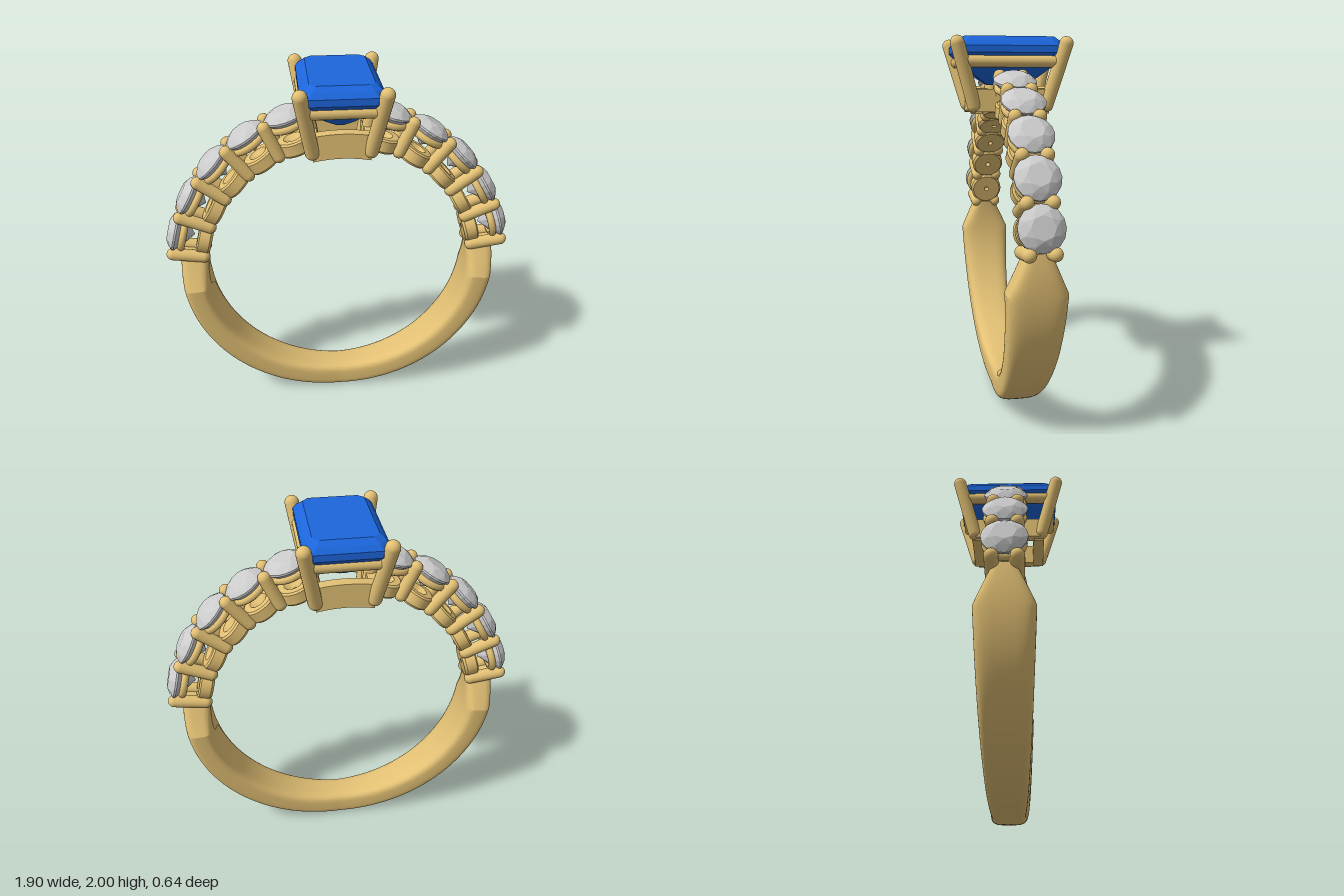
import * as THREE from 'three';
import { toCreasedNormals } from 'three/addons/utils/BufferGeometryUtils.js';
import { ConvexGeometry } from 'three/addons/geometries/ConvexGeometry.js';

const CY = 0.885, R_IN = 0.73, R_OUT = 0.882;
const rad = THREE.MathUtils.degToRad;
const gold = new THREE.MeshStandardMaterial({ color: 0xe2c074 });
const blue = new THREE.MeshStandardMaterial({ color: 0x1c66dc });
const grey = new THREE.MeshStandardMaterial({ color: 0xcccccc });

function add(parent, name, geometry, material = gold) {
  const mesh = new THREE.Mesh(geometry, material);
  mesh.name = name;
  parent.add(mesh);
  return mesh;
}

// Round bar with domed ends between two points
function bar(parent, name, a, b, r) {
  const dir = b.clone().sub(a);
  const mesh = add(parent, name, new THREE.CapsuleGeometry(r, dir.length(), 8, 20));
  mesh.position.copy(a).add(b).multiplyScalar(0.5);
  mesh.quaternion.setFromUnitVectors(new THREE.Vector3(0, 1, 0), dir.normalize());
  return mesh;
}

// Group whose local y points outward from the ring centre
function radialGroup(parent, name, degrees) {
  const g = new THREE.Group();
  g.name = name;
  g.position.y = CY;
  g.rotation.z = rad(degrees - 90);
  parent.add(g);
  return g;
}

// Lower band: rounded section swept round the arc, widening to the shoulders
function shankGeometry() {
  const angles = [];
  for (let i = 0; i <= 4; i++) angles.push(-188 + 13.5 * i / 4);
  for (let i = 1; i <= 80; i++) angles.push(-174.5 + 169 * i / 80);
  for (let i = 1; i <= 4; i++) angles.push(-5.5 + 13.5 * i / 4);
  const n = 48, pos = [], idx = [];
  const mid = (R_IN + R_OUT) / 2, thick = (R_OUT - R_IN) / 2;
  const round = (v) => Math.sign(v) * Math.sqrt(Math.abs(v));
  for (const deg of angles) {
    const fromBottom = Math.abs(deg + 90), a = rad(deg);
    const half = fromBottom < 84.5
      ? 0.09 + 0.057 * fromBottom / 84.5
      : 0.147 - 0.087 * (fromBottom - 84.5) / 13.5;
    for (let j = 0; j < n; j++) {
      const p = 2 * Math.PI * j / n;
      const r = mid + thick * round(Math.cos(p));
      pos.push(r * Math.cos(a), CY + r * Math.sin(a), half * round(Math.sin(p)));
    }
  }
  const last = (angles.length - 1) * n;
  for (let i = 0; i < angles.length - 1; i++) {
    for (let j = 0; j < n; j++) {
      const k = (j + 1) % n, a = i * n, b = a + n;
      idx.push(a + j, b + j, a + k, b + j, b + k, a + k);
    }
  }
  for (let j = 1; j < n - 1; j++) {
    idx.push(0, j, j + 1, last, last + j + 1, last + j);
  }
  const g = new THREE.BufferGeometry();
  g.setAttribute('position', new THREE.Float32BufferAttribute(pos, 3));
  g.setIndex(idx);
  return toCreasedNormals(g, 0.4);
}

// Round faceted stone, girdle at y = 0
function roundStoneGeometry() {
  const pts = [new THREE.Vector3(0, -0.105, 0)];
  const ring = (n, r, y, shift) => {
    for (let i = 0; i < n; i++) {
      const a = 2 * Math.PI * (i + shift) / n;
      pts.push(new THREE.Vector3(r * Math.cos(a), y, r * Math.sin(a)));
    }
  };
  ring(8, 0.058, 0.042, 0);
  ring(8, 0.088, 0.027, 0.5);
  ring(16, 0.112, 0.005, 0);
  ring(16, 0.112, -0.005, 0);
  ring(8, 0.06, -0.058, 0.5);
  return new ConvexGeometry(pts);
}

// Step-cut rectangular stone: stacked octagons [y, half x, half z]
function centreStoneGeometry() {
  const steps = [
    [2.0, 0.158, 0.24], [1.975, 0.186, 0.27], [1.95, 0.205, 0.29], [1.915, 0.205, 0.29],
    [1.84, 0.14, 0.225], [1.79, 0.08, 0.165], [1.75, 0.02, 0.105],
  ];
  const pts = [];
  for (const [y, hx, hz] of steps) {
    const cut = 0.2 * hx;
    for (const sx of [-1, 1]) for (const sz of [-1, 1]) {
      pts.push(new THREE.Vector3(sx * (hx - cut), y, sz * hz));
      pts.push(new THREE.Vector3(sx * hx, y, sz * (hz - cut)));
    }
  }
  return new ConvexGeometry(pts);
}

// Cup with a small drilled hole beneath each side stone
function cupGeometry() {
  const profile = [
    [0.014, 0.725], [0.085, 0.725], [0.096, 0.738], [0.096, 0.795],
    [0.085, 0.803], [0.05, 0.803], [0.014, 0.77], [0.014, 0.725],
  ].map(([x, y]) => new THREE.Vector2(x, y));
  return toCreasedNormals(new THREE.LatheGeometry(profile, 32), 0.6);
}

function buildSide(parent, left) {
  const side = new THREE.Group();
  side.name = left ? 'leftStoneRow' : 'rightStoneRow';
  parent.add(side);
  const turn = (deg) => (left ? deg : 180 - deg);
  const stone = roundStoneGeometry(), cup = cupGeometry();
  const collet = new THREE.TorusGeometry(0.088, 0.02, 10, 32);
  collet.rotateX(Math.PI / 2);
  for (let i = 0; i < 5; i++) {
    const g = radialGroup(side, 'sideSetting', turn(15.2 + 14.4 * i));
    add(g, 'sideStone', stone, grey).position.y = 0.925;
    add(g, 'sideCollet', collet).position.y = 0.882;
    add(g, 'sideCup', cup);
  }
  // Paired prongs between the stones
  for (let i = 0; i < 6; i++) {
    const g = radialGroup(side, 'prongPair', turn(8 + 14.4 * i));
    for (const z of [-0.06, 0.06]) {
      bar(g, 'sideProng', new THREE.Vector3(0, 0.755, z), new THREE.Vector3(0, 0.925, z), 0.034);
    }
  }
}

function buildHead(parent) {
  const head = new THREE.Group();
  head.name = 'head';
  parent.add(head);
  add(head, 'centreStone', centreStoneGeometry(), blue);

  // Curved front and back walls of the base frame
  const arc = new THREE.Shape();
  arc.absarc(0, 0, 0.86, rad(79.5), rad(100.5), false);
  arc.absarc(0, 0, R_IN, rad(101.5), rad(78.5), true);
  const wall = new THREE.ExtrudeGeometry(arc, { depth: 0.06, bevelEnabled: false, curveSegments: 16 });
  for (const z of [-0.21, 0.15]) add(head, 'baseWall', wall).position.set(0, CY, z);

  for (const sx of [-1, 1]) {
    const sideWall = add(head, 'baseSideWall', new THREE.BoxGeometry(0.05, 0.12, 0.38));
    sideWall.position.set(sx * 0.145, 1.67, 0);
    // Gallery rail beneath the stone
    const V = (x, z) => new THREE.Vector3(x, 1.87, z);
    bar(head, 'sideRail', V(sx * 0.182, -0.25), V(sx * 0.182, 0.25), 0.031);
    bar(head, 'crossRail', V(-0.182, sx * 0.25), V(0.182, sx * 0.25), 0.031);
    // Splayed corner prongs
    for (const sz of [-1, 1]) {
      bar(head, 'cornerProng', new THREE.Vector3(sx * 0.148, 1.645, sz * 0.195),
        new THREE.Vector3(sx * 0.205, 1.962, sz * 0.285), 0.037);
    }
  }
}

export function createModel() {
  const model = new THREE.Group();
  model.name = 'ring';
  add(model, 'shank', shankGeometry());
  buildSide(model, true);
  buildSide(model, false);
  buildHead(model);
  return model;
}
